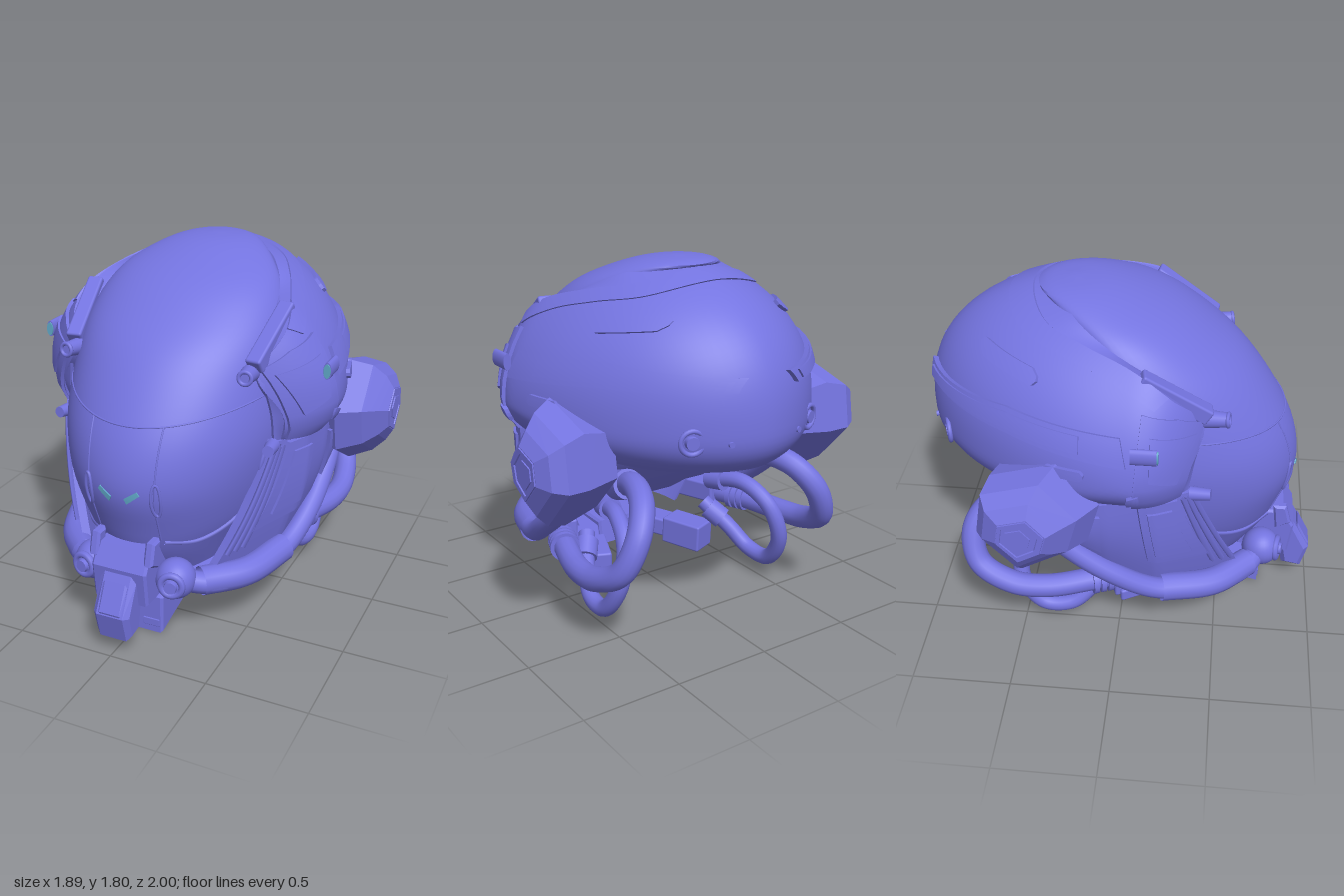
import * as THREE from 'three';
import { toCreasedNormals } from 'three/addons/utils/BufferGeometryUtils.js';
import { RoundedBoxGeometry } from 'three/addons/geometries/RoundedBoxGeometry.js';

const V = (x, y, z) => new THREE.Vector3(x, y, z);
const shellBlue = new THREE.MeshStandardMaterial({ name: 'shellBlue', color: 0x7474e0, side: THREE.DoubleSide });
const lensTeal = new THREE.MeshStandardMaterial({ name: 'lensTeal', color: 0x62aaca, side: THREE.DoubleSide });

// Closed slab: an outer and an inner grid of fn(u, v, offset), joined round the edge
function slab(fn, n, m, outer, inner) {
  const pos = [], idx = [], rim = [], w = n + 1, layer = w * (m + 1);
  for (const o of [outer, inner])
    for (let j = 0; j <= m; j++) for (let i = 0; i <= n; i++) pos.push(...fn(i / n, j / m, o).toArray());
  const quad = (a, b, c, d) => idx.push(a, b, c, a, c, d);
  for (let j = 0; j < m; j++) for (let i = 0; i < n; i++) {
    const a = j * w + i;
    quad(a, a + w, a + w + 1, a + 1);
    quad(layer + a, layer + a + 1, layer + a + w + 1, layer + a + w);
  }
  for (let i = 0; i < n; i++) rim.push(i);
  for (let j = 0; j < m; j++) rim.push(j * w + n);
  for (let i = n; i > 0; i--) rim.push(m * w + i);
  for (let j = m; j > 0; j--) rim.push(j * w);
  rim.forEach((a, k) => { const b = rim[(k + 1) % rim.length]; quad(a, b, b + layer, a + layer); });
  return finish(pos, idx, 0.6);
}

function finish(pos, idx, crease) {
  const g = new THREE.BufferGeometry();
  g.setAttribute('position', new THREE.Float32BufferAttribute(pos, 3));
  g.setIndex(idx);
  return toCreasedNormals(g, crease);
}

function poly(points, u) {
  const f = u * (points.length - 1), i = Math.min(Math.floor(f), points.length - 2);
  return points[i].clone().lerp(points[i + 1], f - i);
}

// Shell surface: a rounded form with different reach to the front, back, top and bottom
const C = V(0, 1.1, 0.05), HALF = 0.775, P = 1.8;
const reach = (y, z) => Math.pow(Math.pow(Math.abs(y) / (y > 0 ? 0.71 : 0.36), 2.4)
  + Math.pow(Math.abs(z) / (z > 0 ? 0.5 : 1.05), 2.4), P / 2.4);
function onShell(p, off = 0) {
  const d = p.clone().sub(C);
  const size = Math.pow(reach(d.y, d.z) + Math.pow(Math.abs(d.x) / HALF, P), 1 / P);
  return d.multiplyScalar((1 + off) / size).add(C);
}
const side = (z, y, off = 0) =>
  onShell(V(HALF * Math.pow(Math.max(0, 1 - reach(y - C.y, z - C.z)), 1 / P), y, z), off);
const zy = list => list.map(([z, y]) => V(0, y, z));
function sidePanel(top, bottom, off) {
  const a = zy(top), b = zy(bottom);
  return slab((u, v, o) => { const p = poly(a, u).lerp(poly(b, u), v); return side(p.z, p.y, o); }, 28, 6, off, -0.02);
}
const pill = (z0, y0, z1, y1, h, off) => {
  const edge = s => [0, 0.08, 0.92, 1].map((t, i) => [z0 + (z1 - z0) * t, y0 + (y1 - y0) * t + s * h * (i % 3 ? 1 : 0.3)]);
  return sidePanel(edge(1), edge(-1), off);
};

// Visor rows: y, half width, front z, z of the widest point
const rows = [[0.3, 0.33, 0.66, 0.2], [0.45, 0.4, 0.76, 0.17], [0.6, 0.48, 0.82, 0.13], [0.8, 0.54, 0.88, 0.1],
  [1, 0.57, 0.85, 0.1], [1.2, 0.56, 0.75, 0.1], [1.4, 0.53, 0.6, 0.08], [1.55, 0.475, 0.42, 0.04],
  [1.66, 0.4, 0.25, -0.05], [1.74, 0.285, 0.06, -0.17], [1.785, 0.16, -0.1, -0.24], [1.8, 0.002, -0.25, -0.252]];
const rimCurve = new THREE.CatmullRomCurve3(rows.map(r => V(r[1], r[0], r[2])), false, 'catmullrom');
const midCurve = new THREE.CatmullRomCurve3(rows.map(r => V(0, r[0], r[3])), false, 'catmullrom');
function onVisor(x, y, off = 0) {
  let lo = 0, hi = 1;
  for (let k = 0; k < 24; k++) { const t = (lo + hi) / 2; if (rimCurve.getPoint(t).y < y) lo = t; else hi = t; }
  const p = rimCurve.getPoint(lo), c = midCurve.getPoint(lo).z;
  return V(x, y, c + (p.z - c) * Math.sqrt(Math.max(0, 1 - (x / p.x) ** 2)) + off);
}
function visorGeometry() {
  return slab((u, v, o) => {
    const p = rimCurve.getPoint(v), c = midCurve.getPoint(v).z;
    const spread = Math.PI * (0.52 + 0.48 * THREE.MathUtils.smoothstep(p.y, 1.3, 1.6));
    const a = (u * 2 - 1) * spread, k = Math.cos(a);
    return V((p.x - o) * Math.sin(a), p.y - o * 0.5, c + (k > 0 ? p.z - c : Math.min(0.22, p.x)) * k - o * k);
  }, 64, 48, 0, 0.015);
}

const tube = (points, r, sides = 14) =>
  new THREE.TubeGeometry(new THREE.CatmullRomCurve3(points), points.length * 10, r, sides);
// Turn a geometry's z axis along dir and move it to pos
const aim = (g, pos, dir) =>
  g.applyQuaternion(new THREE.Quaternion().setFromUnitVectors(V(0, 0, 1), dir.clone().normalize())).translate(pos.x, pos.y, pos.z);
const peg = (r0, r1, len, pos, dir) => aim(new THREE.CylinderGeometry(r1, r0, len, 24).rotateX(Math.PI / 2), pos, dir);
const ring = (r, t, pos, dir) => aim(new THREE.TorusGeometry(r, t, 8, 28), pos, dir);
function bar(a, b, w, h) {
  const m = new THREE.Matrix4().lookAt(b, a, V(0, 1, 0)), p = a.clone().lerp(b, 0.5);
  return new RoundedBoxGeometry(w, h, a.distanceTo(b), 2, 0.012).applyMatrix4(m).translate(p.x, p.y, p.z);
}
// Side outline (z, y) extruded across x
function block(outline, width, bevel = 0.012) {
  const g = new THREE.ExtrudeGeometry(new THREE.Shape(outline.map(p => new THREE.Vector2(...p))),
    { depth: width - 2 * bevel, bevelEnabled: true, bevelSize: bevel, bevelThickness: bevel, bevelOffset: -bevel, bevelSegments: 1 });
  return g.rotateY(-Math.PI / 2).translate(width / 2 - bevel, 0, 0);
}
function mirrored(geo) {
  const g = (geo.index ? geo.toNonIndexed() : geo.clone()).scale(-1, 1, 1);
  const idx = [];
  for (let i = 0; i < g.attributes.position.count; i += 3) idx.push(i, i + 2, i + 1);
  g.setIndex(idx);
  return g;
}

// Ear pod: rings of one outline (x, scale, shift back), shrinking outward
const podOutline = [[-0.06, 0.98], [-0.26, 1.21], [-0.58, 1.12], [-0.62, 0.86], [-0.38, 0.6], [-0.12, 0.75]];
function pod(steps) {
  const pos = [], idx = [], n = podOutline.length;
  for (const [x, s, back] of steps)
    for (const [z, y] of podOutline) pos.push(x, 0.92 + (y - 0.92) * s, -0.41 + (z + 0.41) * s - back);
  for (let k = 0; k < steps.length - 1; k++) for (let i = 0; i < n; i++) {
    const a = k * n + i, b = k * n + (i + 1) % n;
    idx.push(a, b, b + n, a, b + n, a + n);
  }
  const last = (steps.length - 1) * n;
  for (let i = 1; i < n - 1; i++) idx.push(last, last + i, last + i + 1);
  return finish(pos, idx, 0.1);
}

export function createModel() {
  const model = new THREE.Group();
  model.name = 'helmet';
  const add = (name, geo, mat = shellBlue) => {
    const mesh = new THREE.Mesh(geo, mat);
    mesh.name = name;
    model.add(mesh);
  };
  const pair = (name, geo, mat) => { add(name + 'Left', geo, mat); add(name + 'Right', mirrored(geo), mat); };

  // Rear shell, lofted from its front arch to its lower edge, with a lip down to the visor
  const arc = (half, end) =>
    new THREE.CatmullRomCurve3([...half, end, ...half.slice().reverse().map(p => V(-p.x, p.y, p.z))]);
  const sides = list => list.map(([z, y]) => side(z, y));
  const arch = arc(sides([[0.3, 0.95], [0.34, 1.1], [0.4, 1.3], [0.25, 1.48], [0.05, 1.6], [-0.15, 1.655], [-0.35, 1.7]]),
    onShell(V(0, 1.757, -0.45)));
  const hem = arc(sides([[0.3, 0.95], [0.15, 0.94], [-0.1, 0.93], [-0.35, 0.92], [-0.6, 0.9], [-0.74, 0.9], [-0.84, 0.9]]),
    onShell(V(0, 0.9, -0.885)));
  const lip = arc([V(0.555, 0.97, 0.34), V(0.55, 1.1, 0.36), V(0.51, 1.3, 0.38), V(0.465, 1.5, 0.2),
    V(0.445, 1.59, 0.05), V(0.39, 1.665, -0.1), V(0.27, 1.738, -0.24)], V(0, 1.785, -0.32));
  add('rearShell', slab((u, v, o) => onShell(arch.getPoint(u).lerp(hem.getPoint(u), v), o), 96, 32, 0, -0.05));
  add('archTrim', slab((u, v, o) => onShell(arch.getPoint(0.22 + 0.56 * u)
    .lerp(hem.getPoint(0.22 + 0.56 * u), v * 0.12), o), 64, 4, 0.01, -0.04));
  add('archLip', slab((u, v, o) => {
    const p = arch.getPoint(u).lerp(lip.getPoint(u), v).sub(C);
    return p.multiplyScalar(1 + o).add(C);
  }, 72, 4, 0, -0.025));

  // Visor, its seams and its slots
  add('visor', visorGeometry());
  const steps = (n, f) => Array.from({ length: n + 1 }, (_, i) => f(i / n));
  add('browSeam', tube(steps(16, t => { const x = (t - 0.5) * 1.06; return onVisor(x, 1.12 + 0.3 * x * x); }), 0.005, 6));
  pair('visorSeam', tube(steps(8, t => onVisor(0.17 + 0.02 * (0.5 - t), 1.13 - 0.58 * t)), 0.005, 6));
  pair('visorSlot', new THREE.TubeGeometry(new THREE.CatmullRomCurve3(steps(15, t =>
    onVisor(0.175 + 0.02 * Math.cos(t * 5.89), 0.79 + 0.085 * Math.sin(t * 5.89), 0.004)), true), 48, 0.008, 6));
  pair('eye', slab((u, v, o) => onVisor(0.033 + 0.062 * u + 0.012 * v, 0.768 + 0.05 * u + 0.027 * (1 - v) * (1 - 0.3 * u), o),
    6, 2, 0.007, 0.001), lensTeal);
  pair('maskTrim', tube([[0.17, 0.53], [0.29, 0.51], [0.4, 0.57], [0.48, 0.69], [0.51, 0.85], [0.535, 0.98]]
    .map(p => onVisor(...p)), 0.014, 6));

  // Shell side details
  pair('sideRail', sidePanel([[0.03, 1.36], [-0.5, 1.4], [-0.94, 1.36]], [[0.06, 1.23], [-0.5, 1.29], [-0.94, 1.3]], 0.025));
  pair('sideRailInset', sidePanel([[-0.15, 1.355], [-0.5, 1.38], [-0.92, 1.35]], [[-0.15, 1.28], [-0.5, 1.31], [-0.92, 1.31]], 0.035));
  pair('upperVent', pill(-0.36, 1.53, -0.65, 1.57, 0.03, 0.02));
  pair('lowerVent', pill(-0.13, 1.17, -0.32, 1.17, 0.025, 0.025));
  const port = side(-0.86, 1.08), out = port.clone().sub(C);
  pair('portRing', ring(0.055, 0.012, port, out));
  pair('portCap', peg(0.035, 0.03, 0.03, port, out));
  const rivet = side(-0.95, 1.07);
  pair('rivet', peg(0.014, 0.014, 0.02, rivet, rivet.clone().sub(C)));

  // Temple plates, bars, lenses and knobs
  pair('templePlate', sidePanel([[0.39, 1.33], [0.28, 1.4], [0.12, 1.45]], [[0.3, 0.97], [0.2, 0.96], [0.08, 0.96]], 0.025));
  pair('templeInset', sidePanel([[0.36, 1.3], [0.16, 1.36]], [[0.28, 1.1], [0.16, 1.16]], 0.04));
  pair('templeNotch', pill(0.12, 1.06, 0.06, 1.04, 0.03, 0.03));
  const oval = (r, len, z) =>
    new THREE.CylinderGeometry(r, r, len, 20).rotateX(Math.PI / 2).scale(0.5, 1, 1).translate(0.757, 1.3, z);
  pair('templeLensMount', oval(0.042, 0.12, 0.14));
  pair('templeLens', oval(0.035, 0.008, 0.203), lensTeal);
  pair('templeBar', bar(V(0.52, 1.56, 0.1), V(0.475, 1.35, 0.42), 0.08, 0.08));
  const knobDir = V(0.15, 0.1, 1);
  pair('templeKnob', peg(0.045, 0.035, 0.12, V(0.46, 1.32, 0.45), knobDir));
  pair('templeKnobRing', ring(0.03, 0.01, V(0.469, 1.326, 0.51), knobDir));
  pair('cheekKnob', peg(0.035, 0.028, 0.1, V(0.56, 0.95, 0.4), knobDir));

  // Cheek guards with raised panels and strips
  const cheekTop = [V(0.56, 0.96, 0.36), V(0.65, 0.96, 0.17), V(0.69, 0.95, -0.05), V(0.68, 0.88, -0.3)];
  const cheekLow = [V(0.35, 0.32, 0.62), V(0.55, 0.36, 0.2), V(0.61, 0.5, -0.05), V(0.64, 0.72, -0.32)];
  const cheek = (u, v, o) => {
    const p = poly(cheekTop, u).lerp(poly(cheekLow, u), v);
    return p.add(V(o + 0.025 * Math.sin(Math.PI * v), 0, o * 0.4));
  };
  const cheekPanel = (u0, u1, v0, v1, off, lean) =>
    slab((u, v, o) => cheek(u0 + (u1 - u0) * u - lean * v, v0 + (v1 - v0) * v, o), 10, 8, off, -0.01);
  pair('cheekGuard', slab(cheek, 30, 12, 0, -0.04));
  pair('cheekPanel', cheekPanel(0.14, 0.44, 0.02, 0.7, 0.025, 0.05));
  pair('cheekInset', cheekPanel(0.2, 0.38, 0.1, 0.6, 0.037, 0.04));
  pair('rearCheekPanel', cheekPanel(0.7, 0.9, 0.15, 0.75, 0.02, 0));
  for (const u of [0.01, 0.05, 0.09]) pair('cheekStrip', tube(steps(6, t => cheek(u, 0.03 + 0.8 * t, 0.012)), 0.015, 4));

  // Inner wall behind the face, sloping down to the jaw floor, and the ceiling inside the shell
  const wall = [V(0.6, 0.98, -0.36), V(0.6, 0.72, -0.18), V(0.56, 0.5, 0.06), V(0.5, 0.35, 0.26), V(0.32, 0.26, 0.62)];
  add('innerWall', slab((u, v, o) => {
    const p = poly(wall, v);
    return V(p.x * (1 - 2 * u), p.y + o, p.z + o * 0.5);
  }, 4, 16, 0, 0.02));
  add('innerCeiling', slab((u, v, o) => hem.getPoint(0.12 + 0.76 * u).multiplyScalar(0.97)
    .lerp(V(0, 0.93, -0.25), v).add(V(0, 0.05 + 0.05 * Math.sin(Math.PI * v / 2) + o, 0)), 48, 8, 0, 0.02));

  // Ear pods
  pair('earPod', pod([[0.55, 0.8, 0], [0.72, 0.98, 0], [0.835, 0.85, 0.045], [0.9, 0.64, 0.05], [0.94, 0.42, 0.025]]));
  pair('earPodFrame', pod([[0.9, 0.44, 0.025], [0.946, 0.4, 0.025], [0.946, 0.32, 0.025], [0.936, 0.3, 0.025]]));
  pair('earPodCap', pod([[0.9, 0.24, 0.025], [0.946, 0.22, 0.025]]));

  // Jaw pipes and rear hoses with their collars
  pair('jawPipe', tube([V(0.22, 0.33, 0.72), V(0.36, 0.3, 0.64), V(0.5, 0.3, 0.45), V(0.58, 0.33, 0.2),
    V(0.63, 0.46, -0.02), V(0.64, 0.63, -0.24), V(0.63, 0.82, -0.42)], 0.055));
  pair('jawSleeve', tube([V(0.32, 0.31, 0.66), V(0.48, 0.305, 0.48), V(0.575, 0.33, 0.22)], 0.072));
  pair('largeHose', tube([V(0.36, 0.7, -0.3), V(0.4, 0.77, -0.48), V(0.46, 0.74, -0.64), V(0.54, 0.62, -0.73),
    V(0.61, 0.46, -0.7), V(0.65, 0.37, -0.53), V(0.64, 0.35, -0.35), V(0.58, 0.36, -0.13), V(0.5, 0.36, 0.08)], 0.06));
  pair('smallHose', tube([V(0.34, 0.53, -0.12), V(0.4, 0.555, -0.33), V(0.45, 0.46, -0.48), V(0.5, 0.28, -0.51),
    V(0.52, 0.12, -0.4), V(0.51, 0.12, -0.25), V(0.46, 0.22, -0.13), V(0.38, 0.34, 0)], 0.043));
  for (const k of [0, 1, 2]) pair('hoseCollar', peg(0.075, 0.075, 0.025, V(0.58 - k * 0.014, 0.36, -0.12 + k * 0.035), V(-0.38, 0, 1)));
  pair('largeHoseSocket', peg(0.075, 0.075, 0.14, V(0.37, 0.72, -0.34), V(0.2, 0.4, -1)));
  pair('smallHoseSocket', peg(0.06, 0.06, 0.1, V(0.35, 0.535, -0.16), V(0.25, 0.12, -1)));
  pair('smallHoseCollar', peg(0.06, 0.06, 0.1, V(0.42, 0.28, -0.06), V(-0.6, 0.7, 0.8)));
  pair('hoseBase', bar(V(0.5, 0.37, 0.02), V(0.42, 0.36, 0.3), 0.14, 0.11));

  // Snout, chin and mouth valves
  add('snout', block([[0.84, 0.52], [0.9, 0.42], [0.88, 0.24], [0.6, 0.23], [0.6, 0.52]], 0.29));
  pair('snoutTab', block([[0.85, 0.57], [0.88, 0.46], [0.8, 0.42], [0.78, 0.57]], 0.05).translate(0.145, 0, 0));
  add('nose', block([[0.9, 0.4], [1, 0.22], [0.965, 0.08], [0.86, 0.1], [0.82, 0.3]], 0.19, 0.025));
  add('nosePlate', block([[0.93, 0.37], [1, 0.235], [0.985, 0.19], [0.9, 0.3]], 0.13));
  add('chin', block([[0.73, 0], [0.73, 0.2], [0.66, 0.26], [0.26, 0.25], [0.24, 0.12]], 0.29));
  pair('chinPlate', new RoundedBoxGeometry(0.09, 0.04, 0.012, 1, 0.004).translate(0.085, 0.055, 0.73));
  const valveDir = V(0.2, 0.05, 1);
  pair('mouthValve', new THREE.SphereGeometry(0.1, 28, 18).translate(0.22, 0.34, 0.73));
  pair('mouthValveRing', ring(0.052, 0.018, V(0.236, 0.345, 0.812), valveDir));
  pair('mouthValveCap', peg(0.036, 0.03, 0.04, V(0.237, 0.345, 0.82), valveDir));

  // Lower arms, sloping down and out
  pair('lowerArm', bar(V(0.12, 0.18, 0.46), V(0.34, 0.15, 0.06), 0.14, 0.1));
  pair('lowerArmEnd', bar(V(0.26, 0.165, 0.16), V(0.35, 0.155, -0.06), 0.15, 0.15));
  pair('lowerArmPlate', bar(V(0.33, 0.11, 0.2), V(0.43, 0.105, 0), 0.03, 0.07));
  return model;
}
